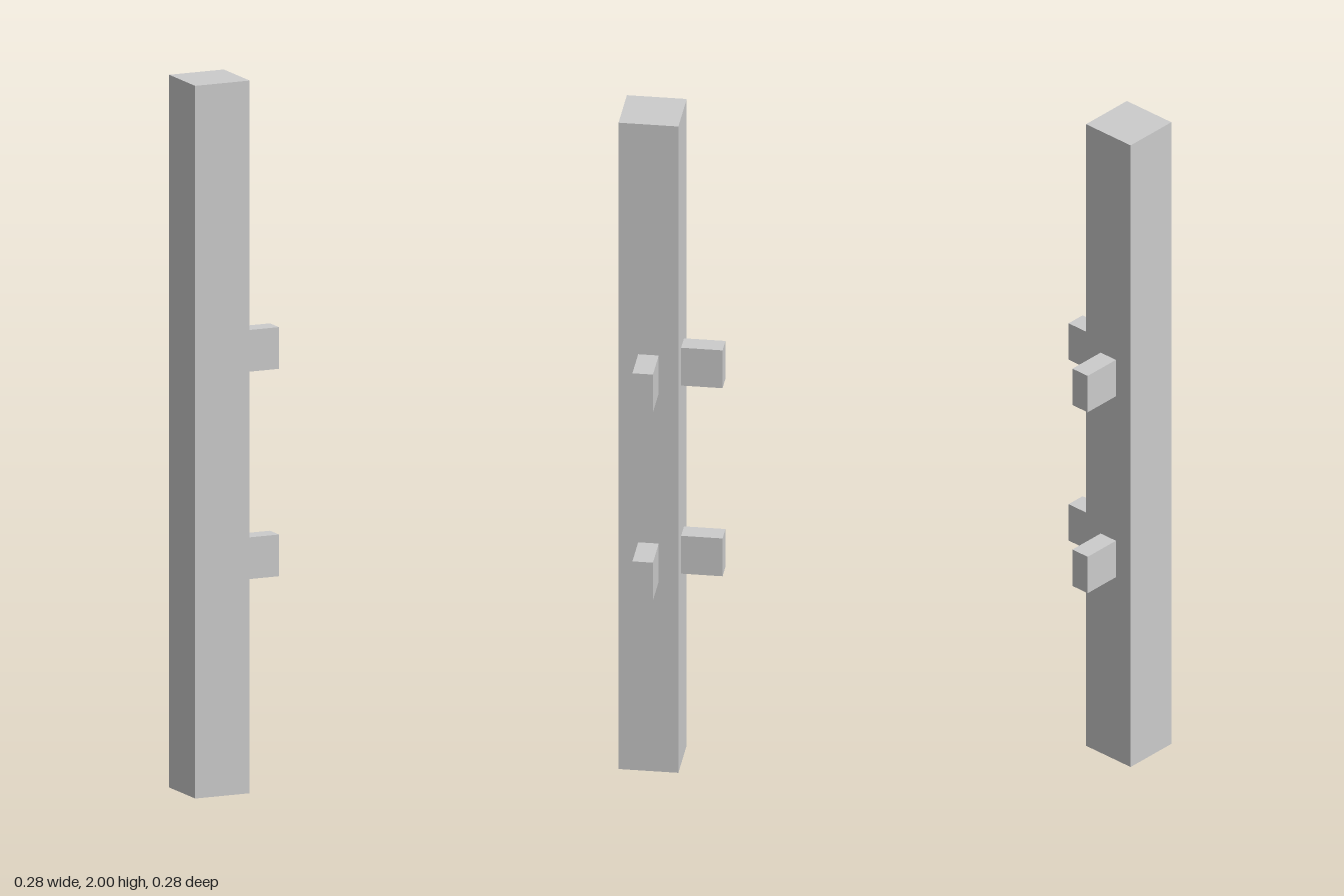
import * as THREE from 'three';

const POST = 0.166;            // side of the square post
const PEG_LENGTH = 0.115;      // how far a peg stands out
const PEG_WIDTH = 0.057;
const PEG_HEIGHT = 0.117;
const PEG_LEVELS = [0.647, 1.229];
const AXIS = 0.0575;           // post centre is at (-AXIS, +AXIS)

export function createModel() {
  const model = new THREE.Group();
  model.name = 'cornerPost';
  const material = new THREE.MeshStandardMaterial({ color: 0xcccccc, flatShading: true });

  const addBox = (name, size, position) => {
    const mesh = new THREE.Mesh(new THREE.BoxGeometry(...size), material);
    mesh.name = name;
    mesh.position.set(...position);
    model.add(mesh);
  };

  // Upright
  addBox('post', [POST, 2, POST], [-AXIS, 1, AXIS]);

  // Rail tenons on two adjoining faces, at two heights
  const reach = POST / 2 + PEG_LENGTH / 2;
  for (const y of PEG_LEVELS) {
    addBox('sideTenon', [PEG_LENGTH, PEG_HEIGHT, PEG_WIDTH], [-AXIS + reach, y, AXIS]);
    addBox('backTenon', [PEG_WIDTH, PEG_HEIGHT, PEG_LENGTH], [-AXIS, y, AXIS - reach]);
  }
  return model;
}
